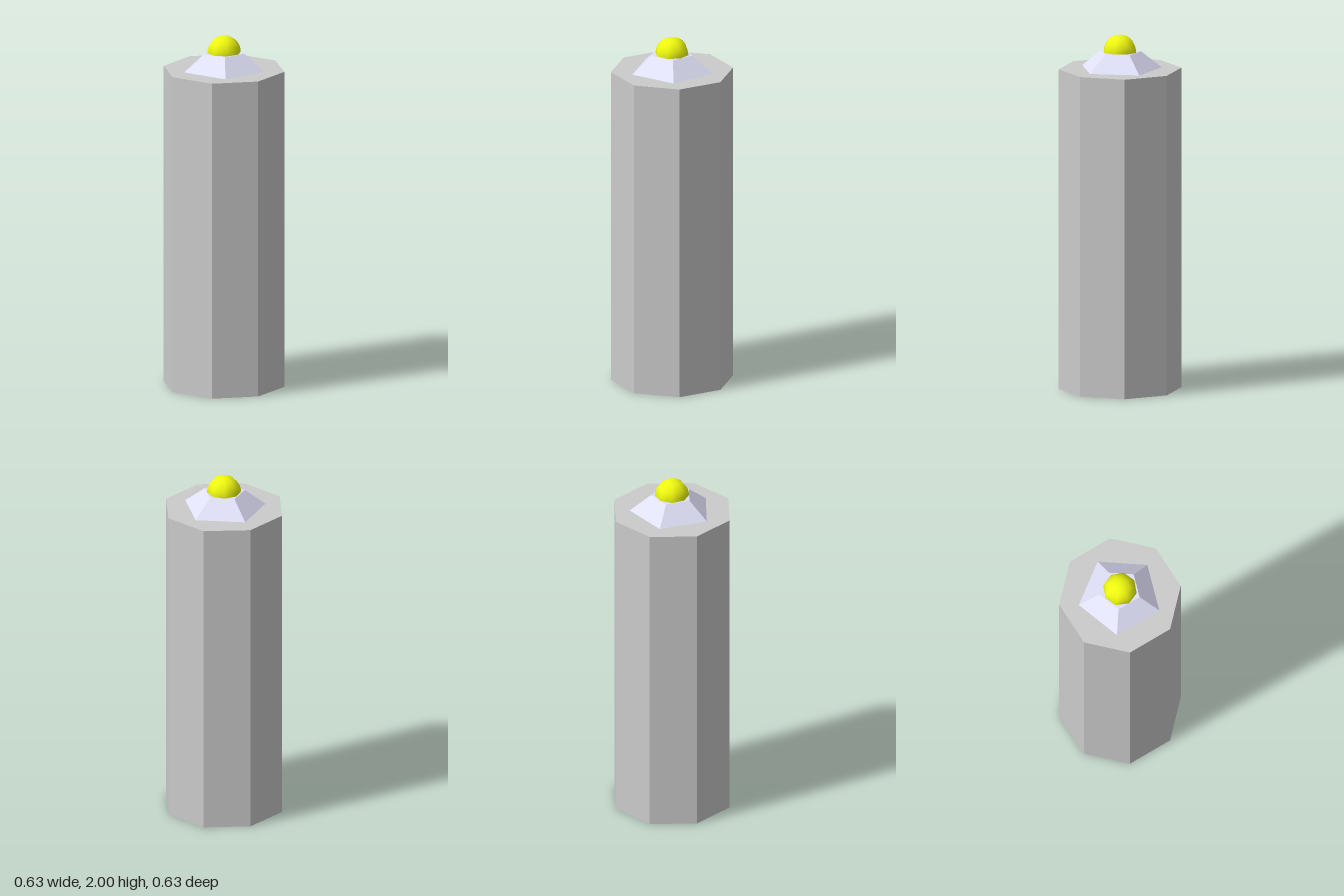
import * as THREE from 'three';

const BODY_TOP = 1.81;
const CAP_TOP = 1.905;

export function createModel() {
  const group = new THREE.Group();
  const add = (name, geometry, material, y, turn = 0) => {
    const mesh = new THREE.Mesh(geometry, material);
    mesh.name = name;
    mesh.position.y = y;
    mesh.rotation.y = turn;
    group.add(mesh);
  };
  const grey = new THREE.MeshStandardMaterial({ color: 0xcccccc, flatShading: true, side: THREE.DoubleSide });
  const lavender = new THREE.MeshStandardMaterial({ color: 0xe0e0f8, flatShading: true });
  const yellow = new THREE.MeshStandardMaterial({ color: 0xeef80f, side: THREE.DoubleSide });

  // Octagonal tube, open at the bottom, flat sides facing the axes
  const radius = 0.343;
  add('bodyWall', new THREE.CylinderGeometry(radius, radius, BODY_TOP, 8, 1, true), grey, BODY_TOP / 2, Math.PI / 8);

  // Lid closing the top of the tube
  const lid = new THREE.CircleGeometry(radius, 8).rotateX(-Math.PI / 2);
  add('bodyLid', lid, grey, BODY_TOP, Math.PI / 8);

  // Five-sided tapered collar, with a corner towards the back
  const height = CAP_TOP - BODY_TOP;
  add('collar', new THREE.CylinderGeometry(0.118, 0.236, height, 5), lavender, BODY_TOP + height / 2, Math.PI);

  // Smooth eight-sided dome
  add('dome', new THREE.SphereGeometry(0.095, 8, 8, 0, Math.PI * 2, 0, Math.PI / 2), yellow, CAP_TOP);

  return group;
}
